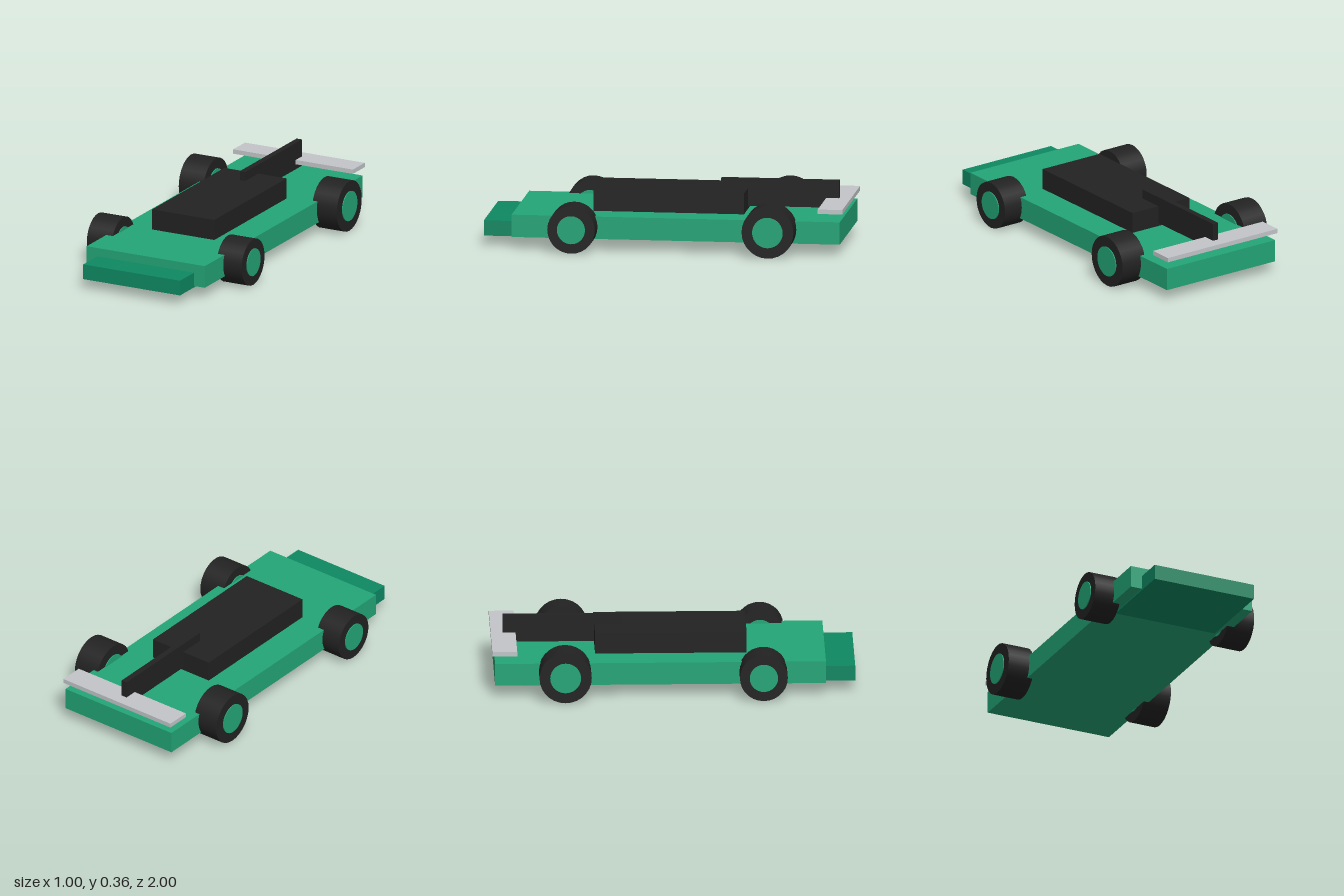
import * as THREE from 'three';

const mat = (name, color) => {
  const m = new THREE.MeshStandardMaterial({ color });
  m.name = name;
  return m;
};

export function createModel() {
  const green = mat('body green', 0x23a577);
  const darkGreen = mat('dark green', 0x0e8862);
  const black = mat('black', 0x222222);
  const silver = mat('silver', 0xc2c5c8);
  const car = new THREE.Group();
  car.name = 'raceCar';

  // Box centred on x, given its width and its y and z ranges
  const box = (name, material, width, y0, y1, z0, z1) => {
    const mesh = new THREE.Mesh(new THREE.BoxGeometry(width, y1 - y0, z1 - z0), material);
    mesh.name = name;
    mesh.position.set(0, (y0 + y1) / 2, (z0 + z1) / 2);
    car.add(mesh);
  };

  box('body', green, 0.74, 0.065, 0.19, -0.985, 0.837);
  box('frontSplitter', darkGreen, 0.606, 0.057, 0.142, 0.5, 1);
  box('cabin', black, 0.39, 0.185, 0.306, -0.43, 0.405);
  box('fin', black, 0.034, 0.206, 0.358, -0.935, -0.28);
  box('rearWing', silver, 0.75, 0.235, 0.26, -1, -0.863);

  // Cylinder lying along x
  const disc = (name, material, radius, width) => {
    const geometry = new THREE.CylinderGeometry(radius, radius, width, 28);
    geometry.rotateZ(Math.PI / 2);
    const mesh = new THREE.Mesh(geometry, material);
    mesh.name = name;
    return mesh;
  };

  // Tyres with slightly wider hubs, mirrored left and right
  const axles = [
    { name: 'front', z: 0.492, x: 0.407, radius: 0.132, hub: 0.078, width: 0.156 },
    { name: 'rear', z: -0.6, x: 0.418, radius: 0.144, hub: 0.085, width: 0.154 },
  ];
  for (const a of axles) {
    for (const side of [1, -1]) {
      const wheel = new THREE.Group();
      wheel.name = a.name + (side > 0 ? 'LeftWheel' : 'RightWheel');
      wheel.position.set(side * a.x, a.radius, a.z);
      wheel.add(disc('tyre', black, a.radius, a.width));
      wheel.add(disc('hub', green, a.hub, a.width + 0.01));
      car.add(wheel);
    }
  }
  return car;
}
